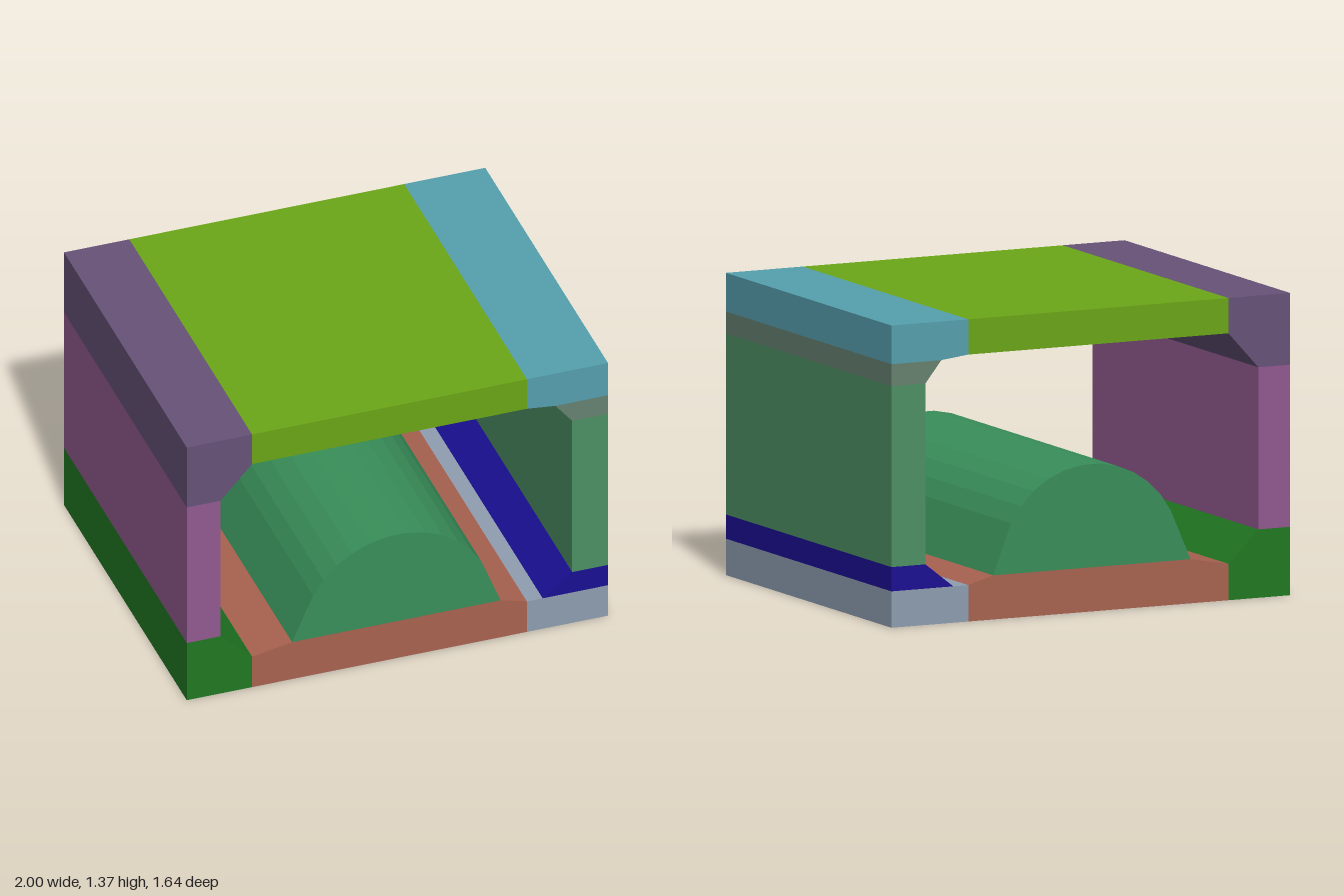
import * as THREE from 'three';

const DEPTH = 1.64;

// Extrudes a front-facing outline along the full depth, centred on z = 0
function addPrism(group, name, color, outline) {
  const shape = new THREE.Shape(outline.map(([x, y]) => new THREE.Vector2(x, y)));
  const geometry = new THREE.ExtrudeGeometry(shape, { depth: DEPTH, bevelEnabled: false });
  geometry.translate(0, 0, -DEPTH / 2);
  const mesh = new THREE.Mesh(geometry, new THREE.MeshStandardMaterial({ color, flatShading: true }));
  mesh.name = name;
  group.add(mesh);
}

export function createModel() {
  const group = new THREE.Group();
  group.name = 'tunnelSection';

  // Floor
  addPrism(group, 'floorSlab', 0xa8624f,
    [[-0.69, 0], [0.615, 0], [0.615, 0.165], [0.49, 0.2], [-0.5, 0.2], [-0.69, 0.165]]);
  addPrism(group, 'floorCornerRight', 0x207822,
    [[-1, 0], [-0.69, 0], [-0.69, 0.165], [-0.84, 0.31], [-1, 0.31]]);
  addPrism(group, 'floorEdgeLeft', 0x8e9db0,
    [[0.615, 0], [1, 0], [1, 0.165], [0.615, 0.165]]);
  addPrism(group, 'floorHaunchLeft', 0x1a0f94,
    [[0.69, 0.165], [1, 0.165], [1, 0.275], [0.83, 0.275]]);

  // Walls
  addPrism(group, 'wallRight', 0x91598f,
    [[-1, 0.31], [-0.84, 0.31], [-0.84, 1.045], [-1, 1.045]]);
  addPrism(group, 'wallLeft', 0x4c9064,
    [[0.83, 0.275], [1, 0.275], [1, 1.095], [0.83, 1.095]]);

  // Roof
  addPrism(group, 'roofCornerRight', 0x665278,
    [[-1, 1.045], [-0.84, 1.045], [-0.69, 1.21], [-0.69, 1.37], [-1, 1.37]]);
  addPrism(group, 'roofSlab', 0x6ba618,
    [[-0.69, 1.21], [0.615, 1.21], [0.615, 1.37], [-0.69, 1.37]]);
  addPrism(group, 'roofCornerLeft', 0x559fae,
    [[0.615, 1.21], [0.75, 1.195], [1, 1.195], [1, 1.37], [0.615, 1.37]]);
  addPrism(group, 'roofHaunchLeft', 0x668270,
    [[0.83, 1.095], [1, 1.095], [1, 1.195], [0.75, 1.195]]);

  // Central mound: sloping flanks below a faceted arc
  const mound = [[-0.5, 0.2], [0.49, 0.2]];
  const radius = 0.453, spread = 1.083, steps = 11;
  for (let i = 0; i <= steps; i++) {
    const a = spread * (1 - 2 * i / steps);
    mound.push([radius * Math.sin(a), 0.217 + radius * Math.cos(a)]);
  }
  addPrism(group, 'mound', 0x398f5a, mound);

  return group;
}
